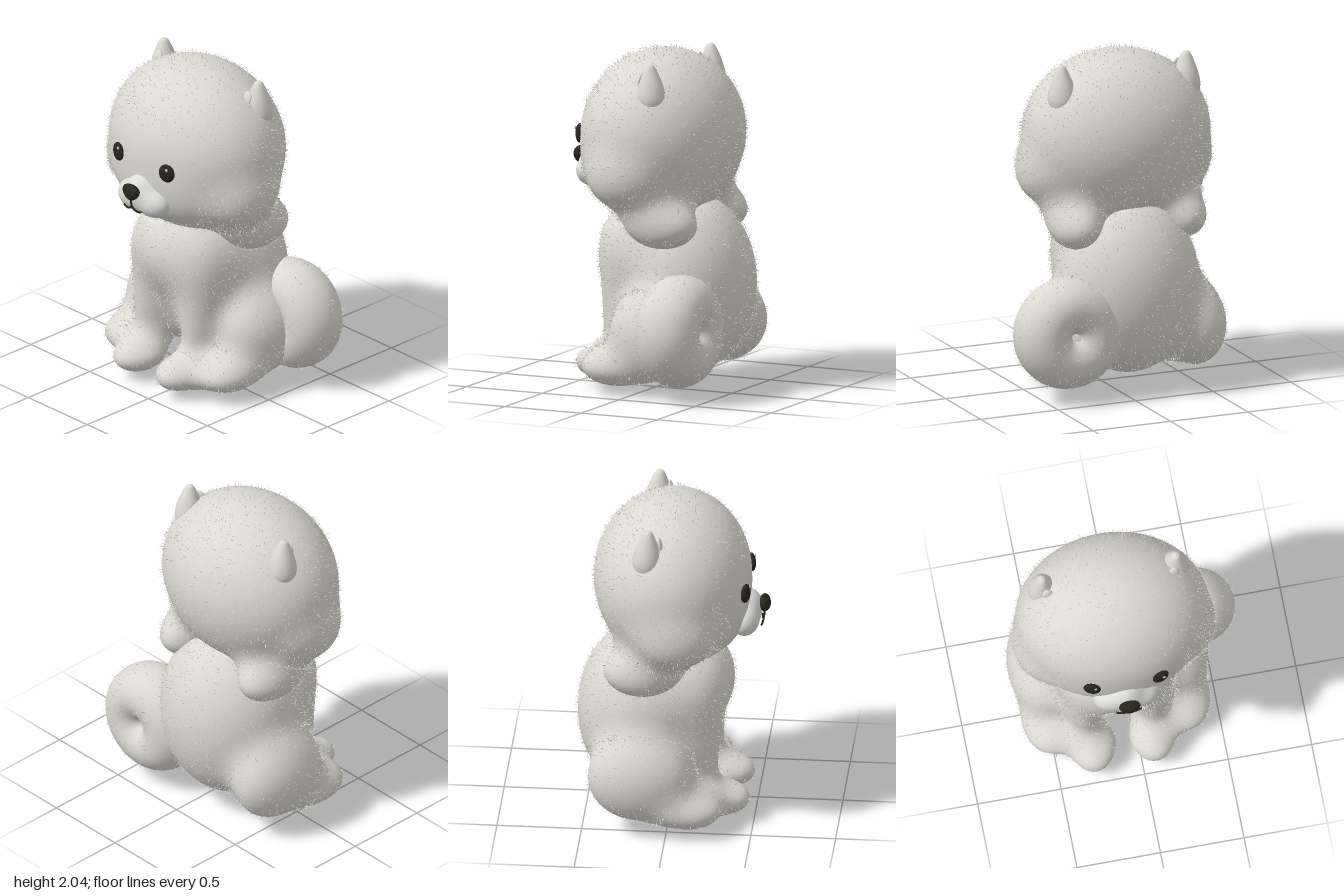
import * as THREE from 'three';

const mat = (name, color, side = THREE.FrontSide) => {
  const m = new THREE.MeshStandardMaterial({ color, side });
  m.name = name;
  return m;
};

// Seeded random numbers for the fur
let seed = 7;
const rand = () => {
  seed = (seed * 16807) % 2147483647;
  return seed / 2147483647;
};

// Approximate distance to an ellipsoid
function ellipsoidDistance(p, { at, r }) {
  const x = (p.x - at[0]) / r[0], y = (p.y - at[1]) / r[1], z = (p.z - at[2]) / r[2];
  const k0 = Math.hypot(x, y, z);
  const k1 = Math.hypot(x / r[0], y / r[1], z / r[2]) || 1e-6;
  return (k0 * (k0 - 1)) / k1;
}

// Smooth union of a list of ellipsoids
function makeField(blobs, k) {
  return (p) => {
    let d = 10;
    for (const b of blobs) {
      const e = ellipsoidDistance(p, b);
      const h = Math.max(k - Math.abs(d - e), 0) / k;
      d = Math.min(d, e) - (h * h * k) / 4;
    }
    return d;
  };
}

function gradient(field, p) {
  const e = 0.002, q = p.clone(), g = new THREE.Vector3();
  for (const a of ['x', 'y', 'z']) {
    q[a] = p[a] + e;
    const hi = field(q);
    q[a] = p[a] - e;
    g[a] = (hi - field(q)) / (2 * e);
    q[a] = p[a];
  }
  return g;
}

// Moves a point onto the blended surface; points deep inside stay put
function settle(field, p) {
  if (field(p) < -0.085) return false;
  for (let i = 0; i < 5; i++) {
    const g = gradient(field, p);
    p.addScaledVector(g, -field(p) / Math.max(g.lengthSq(), 0.25));
  }
  return true;
}

// One ellipsoid mesh whose skin flows into its neighbours
function blendedMesh(blob, field, material) {
  const geo = new THREE.SphereGeometry(1, 64, 44);
  geo.scale(...blob.r).translate(...blob.at);
  const pos = geo.attributes.position, nor = geo.attributes.normal, p = new THREE.Vector3();
  for (let i = 0; i < pos.count; i++) {
    p.fromBufferAttribute(pos, i);
    if (!settle(field, p)) continue;
    pos.setXYZ(i, p.x, p.y, p.z);
    const n = gradient(field, p).normalize();
    nor.setXYZ(i, n.x, n.y, n.z);
  }
  const mesh = new THREE.Mesh(geo, material);
  mesh.name = blob.name;
  return mesh;
}

// Thin tapering hairs, each one a narrow triangle
function furMesh(roots, material, name) {
  const verts = [], side = new THREE.Vector3(), dir = new THREE.Vector3();
  for (const { p, n } of roots) {
    const jitter = new THREE.Vector3(rand() - 0.5, rand() - 0.5, rand() - 0.5);
    dir.copy(n).addScaledVector(jitter, 0.8).normalize();
    side.crossVectors(dir, jitter).normalize().multiplyScalar(0.0011);
    const tip = p.clone().addScaledVector(dir, 0.012 + 0.02 * rand());
    verts.push(...p.clone().add(side).toArray(), ...p.clone().sub(side).toArray(), ...tip.toArray());
  }
  const geo = new THREE.BufferGeometry();
  geo.setAttribute('position', new THREE.Float32BufferAttribute(verts, 3));
  geo.computeVertexNormals();
  const mesh = new THREE.Mesh(geo, material);
  mesh.name = name;
  return mesh;
}

// Scatter hair roots over the visible skin of the blobs
function scatter(blobs, field, density, bare) {
  const roots = [];
  for (const { at, r } of blobs) {
    const count = density * (r[0] * r[1] + r[1] * r[2] + r[0] * r[2]);
    for (let i = 0; i < count; i++) {
      const u = 2 * rand() - 1, t = 2 * Math.PI * rand(), s = Math.sqrt(1 - u * u);
      const p = new THREE.Vector3(at[0] + r[0] * s * Math.cos(t), at[1] + r[1] * u, at[2] + r[2] * s * Math.sin(t));
      if (bare(p) || !settle(field, p)) continue;
      roots.push({ p, n: gradient(field, p).normalize() });
    }
  }
  return roots;
}

const blob = (name, at, r) => ({ name, at, r });
const pair = (name, [x, y, z], r) => [blob(name + 'Left', [x, y, z], r), blob(name + 'Right', [-x, y, z], r)];

export function createModel() {
  const coat = mat('coat grey', 0xdbd9d2, THREE.DoubleSide);
  const pale = mat('muzzle grey', 0xdededb);
  const black = mat('nose black', 0x28261d);
  const white = mat('eye glint', 0xc8c8c4);

  const model = new THREE.Group();
  model.name = 'sittingPuppy';
  const puppy = new THREE.Group();
  puppy.name = 'puppy';
  puppy.position.x = -0.1; // the tail sticks out to one side
  model.add(puppy);

  const addFurry = (name, blobs, k, bare) => {
    const group = new THREE.Group();
    group.name = name;
    const field = makeField(blobs, k);
    blobs.forEach((b) => group.add(blendedMesh(b, field, coat)));
    group.add(furMesh(scatter(blobs, field, 6800, bare), coat, name + 'Fur'));
    puppy.add(group);
  };
  const ball = (name, at, r, material, parent = puppy) => {
    const m = new THREE.Mesh(new THREE.SphereGeometry(1, 32, 24), material);
    m.name = name;
    m.position.set(...at);
    m.scale.set(...r);
    parent.add(m);
    return m;
  };

  // Torso, legs and paws
  addFurry('body', [
    blob('torso', [0, 0.59, -0.17], [0.43, 0.53, 0.385]),
    blob('chest', [0, 0.8, 0.075], [0.345, 0.3, 0.295]),
    ...pair('frontLeg', [0.2, 0.42, 0.175], [0.1, 0.4, 0.115]),
    ...pair('frontPaw', [0.18, 0.105, 0.325], [0.125, 0.095, 0.15]),
    ...pair('haunch', [0.41, 0.32, -0.16], [0.185, 0.26, 0.3]),
    ...pair('hindPaw', [0.41, 0.125, 0.13], [0.145, 0.105, 0.19]),
  ], 0.15, (p) => p.y < 0.05);

  // Head with cheeks and side ruffs; the face is left bare
  addFurry('head', [
    blob('skull', [0, 1.47, 0.005], [0.575, 0.505, 0.465]),
    blob('jaw', [0, 1.26, 0.06], [0.46, 0.22, 0.34]),
    ...pair('cheek', [0.45, 1.26, 0.05], [0.13, 0.14, 0.17]),
    ...pair('ruff', [0.335, 0.985, -0.15], [0.15, 0.145, 0.22]),
  ], 0.16, (p) => p.z > 0.3 && Math.abs(p.x) < 0.34 && p.y < 1.66);

  // Curled tail: a fat ring with a dimple
  const tail = new THREE.Group();
  tail.name = 'tail';
  tail.position.set(0.46, 0.38, -0.33);
  const ring = new THREE.Mesh(new THREE.TorusGeometry(0.162, 0.172, 32, 64), coat);
  ring.name = 'tailCurl';
  ring.scale.z = 1.11;
  const tailRoots = [];
  for (let i = 0; i < 1000; i++) {
    const a = 2 * Math.PI * rand(), b = 4.1 * (rand() - 0.5);
    const n = new THREE.Vector3(Math.cos(b) * Math.cos(a), Math.cos(b) * Math.sin(a), Math.sin(b));
    const p = new THREE.Vector3(Math.cos(a), Math.sin(a), 0).multiplyScalar(0.162).addScaledVector(n, 0.172);
    p.z *= 1.11;
    tailRoots.push({ p, n });
  }
  tail.add(ring, furMesh(tailRoots, coat, 'tailFur'));
  puppy.add(tail);

  // Muzzle and nose
  const muzzle = [
    ...pair('muzzleCheek', [0.07, 1.23, 0.435], [0.125, 0.096, 0.088]),
    blob('muzzleBridge', [0, 1.295, 0.43], [0.1, 0.1, 0.1]),
  ];
  const muzzleField = makeField(muzzle, 0.05);
  muzzle.forEach((b) => puppy.add(blendedMesh(b, muzzleField, pale)));
  const nose = new THREE.SphereGeometry(1, 32, 24);
  const np = nose.attributes.position;
  for (let i = 0; i < np.count; i++) np.setX(i, np.getX(i) * (1 + 0.3 * np.getY(i))); // narrows downwards
  nose.computeVertexNormals();
  const noseMesh = new THREE.Mesh(nose, black);
  noseMesh.name = 'nose';
  noseMesh.position.set(0.002, 1.302, 0.547);
  noseMesh.scale.set(0.061, 0.05, 0.036);
  puppy.add(noseMesh);

  // Mouth: a short line and two smiling curves
  const line = (name, pts) => {
    const curve = new THREE.CatmullRomCurve3(pts.map((p) => new THREE.Vector3(...p)));
    const m = new THREE.Mesh(new THREE.TubeGeometry(curve, 20, 0.006, 8), black);
    m.name = name;
    puppy.add(m);
  };
  line('mouthLine', [[0, 1.27, 0.545], [0, 1.24, 0.546], [0, 1.208, 0.542]]);

  for (const s of [1, -1]) {
    const suffix = s > 0 ? 'Left' : 'Right';
    line('mouthCurve' + suffix, [[0, 1.21, 0.542], [s * 0.02, 1.191, 0.538], [s * 0.05, 1.183, 0.532], [s * 0.077, 1.193, 0.528]]);

    // Eyes with a glint
    const eye = ball('eye' + suffix, [s * 0.205, 1.465, 0.452], [0.051, 0.057, 0.024], black);
    eye.rotation.y = s * 0.3;
    ball('eyeGlint' + suffix, [s * 0.205 + 0.018, 1.497, 0.472], [0.009, 0.011, 0.005], white);

    // Blunt pointed ears with an inner pad
    const profile = [[0.075, -0.03], [0.086, 0.02], [0.081, 0.07], [0.067, 0.12], [0.05, 0.165], [0.035, 0.2], [0.02, 0.224], [0, 0.232]];
    const ear = new THREE.Group();
    ear.name = 'ear' + suffix;
    ear.position.set(s * 0.398, 1.72, -0.115);
    ear.rotation.set(0.04, 0, -s * 0.02);
    const shell = new THREE.Mesh(new THREE.LatheGeometry(
      new THREE.SplineCurve(profile.map((p) => new THREE.Vector2(...p))).getPoints(28), 32), coat);
    shell.name = 'earShell';
    ear.add(shell);
    const pad = ball('innerEar', [-s * 0.022, 0.135, 0.072], [0.031, 0.045, 0.013], pale, ear);
    pad.rotation.x = -0.3;
    puppy.add(ear);
  }
  return model;
}
